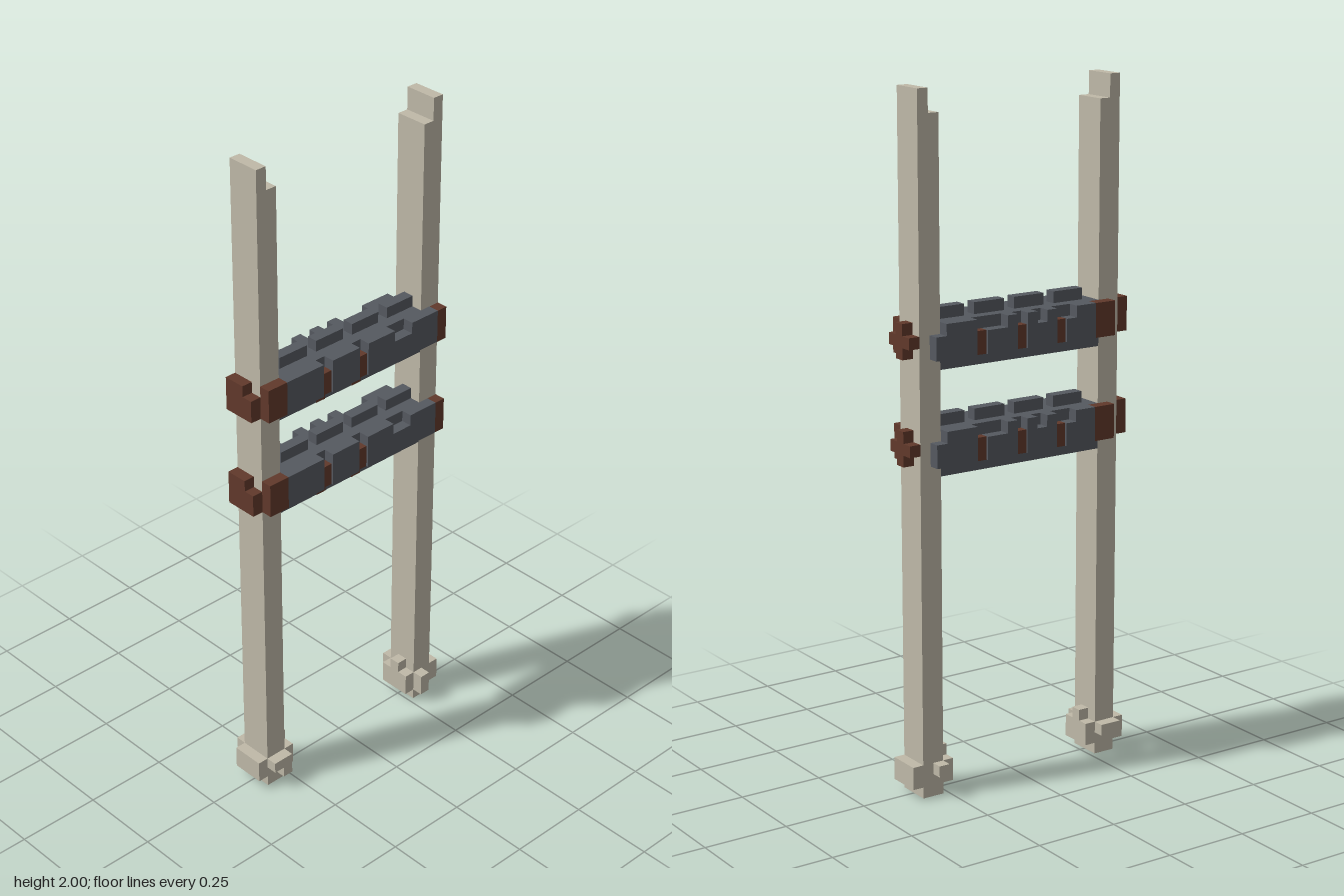
import * as THREE from 'three';

const U = 1 / 30; // one block of the grid

export function createModel() {
  const model = new THREE.Group();
  model.name = 'ladder';
  const paleWood = new THREE.MeshStandardMaterial({ color: 0xbfb9a8 });
  paleWood.name = 'paleWood';
  const slate = new THREE.MeshStandardMaterial({ color: 0x555960 });
  slate.name = 'slate';
  const brown = new THREE.MeshStandardMaterial({ color: 0x61392b });
  brown.name = 'brownBinding';

  // Block between two corners, measured in grid units
  const block = (parent, name, material, [x0, x1], [y0, y1], [z0, z1]) => {
    const geo = new THREE.BoxGeometry((x1 - x0) * U, (y1 - y0) * U, (z1 - z0) * U);
    const mesh = new THREE.Mesh(geo, material);
    mesh.position.set((x0 + x1) * U / 2, (y0 + y1) * U / 2, (z0 + z1) * U / 2);
    mesh.name = name;
    parent.add(mesh);
  };
  const DEEP = [-1.5, 1.5], THIN = [-0.5, 0.5], FRONT = [1.5, 2.5], BACK = [-2.5, -1.5];

  // Posts with a stepped top and a chunky foot
  for (const s of [-1, 1]) {
    const post = new THREE.Group();
    post.name = s > 0 ? 'leftPost' : 'rightPost';
    model.add(post);
    const span = (a, b) => (s > 0 ? [a, b] : [-b, -a]);
    block(post, 'postInner', paleWood, span(8, 9), [0, 58], DEEP);
    block(post, 'postOuter', paleWood, span(9, 10), [0, 60], DEEP);
    block(post, 'footOuter', paleWood, span(10, 11), [1, 3], DEEP);
    block(post, 'footInner', paleWood, span(7, 8), [1, 3], DEEP);
    block(post, 'footInnerTop', paleWood, span(7, 8), [3, 4], THIN);
    block(post, 'footFront', paleWood, span(8, 9), [1, 3], FRONT);
    if (s < 0) block(post, 'footFrontStep', paleWood, span(9, 10), [2, 3], FRONT);
    block(post, 'footBack', paleWood, s > 0 ? [8, 9] : [-10, -8], [2, 3], BACK);
  }

  // Side boards: [x range, top height above the rung base]
  const frontBoards = [[[-8, -4], 4], [[-3, 0], 4], [[1, 4], 4], [[4, 6], 3], [[6, 8], 4], [[8, 9], 4]];
  const backBoards = [[[-7, -5], 4], [[-5, -4], 3], [[-3, -2], 4], [[-2, -1], 3], [[-1, 0], 4],
    [[1, 2], 4], [[2, 4], 3], [[5, 8], 4], [[8, 9], 3]];

  for (const base of [28, 37]) {
    const rung = new THREE.Group();
    rung.name = base === 28 ? 'lowerRung' : 'upperRung';
    rung.position.y = base * U;
    model.add(rung);

    block(rung, 'core', slate, [-8, 8], [0, 4], DEEP);
    for (const x of [-7, -3, 1, 5]) block(rung, 'topTread', slate, [x, x + 3], [4, 5], THIN);
    for (const [x, top] of frontBoards) block(rung, 'frontBoard', slate, x, [1, top], FRONT);
    for (const [x, top] of backBoards) block(rung, 'backBoard', slate, x, [1, top], BACK);

    // Brown bindings in the gaps between boards
    for (const x of [-4, 0]) {
      block(rung, 'frontBinding', brown, [x, x + 1], [1, 3], [1.5, 2.3]);
      block(rung, 'frontBindingStrip', brown, [x, x + 1], [0, 1], [1.5, 1.55]);
    }
    for (const x of [-4, 0, 4]) block(rung, 'backBinding', brown, [x, x + 1], [1, 3], [-2.3, -1.5]);

    // Clamps around the posts
    block(rung, 'rightClampFront', brown, [-10, -8], [1, 4], FRONT);
    block(rung, 'rightClampBack', brown, [-9, -7], [1, 4], BACK);
    block(rung, 'rightClampOuter', brown, [-11, -10], [1, 4], [-1.5, 0.5]);
    block(rung, 'rightClampOuterStep', brown, [-11, -10], [1, 3], [0.5, 1.5]);
    block(rung, 'leftClampFront', brown, [9, 10], [1, 4], FRONT);
    block(rung, 'leftClampOuter', brown, [10, 11], [1, 4], THIN);
    block(rung, 'leftClampCross', brown, [10, 11], [2, 3], [0.5, 1.5]);
    block(rung, 'leftClampCross', brown, [10, 11], [2, 3], [-1.5, -0.5]);
  }
  return model;
}
